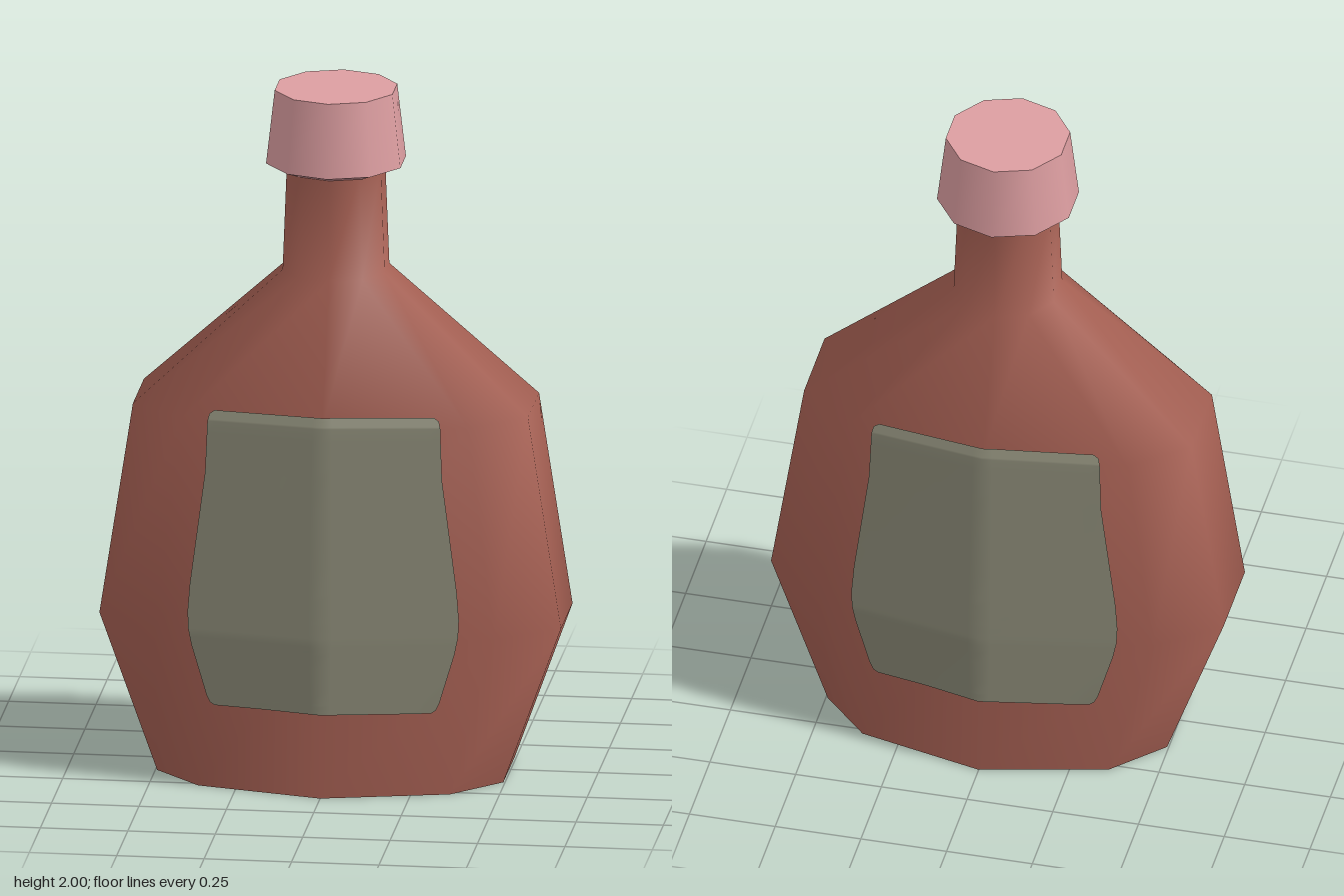
import * as THREE from 'three';

// Body rings from the base up: [y, sideX, sideZ, cornerX, cornerZ, frontZ]
const RINGS = [
  [0, 0.495, 0.13, 0.36, 0.27, 0.358],
  [0.46, 0.66, 0.13, 0.485, 0.268, 0.358],
  [1.08, 0.565, 0.125, 0.41, 0.258, 0.316],
  [1.47, 0.146, 0.052, 0.092, 0.132, 0.163],
  [1.79, 0.134, 0.049, 0.085, 0.126, 0.156],
];
const SIDES = 10;

function ringPoints([y, sx, sz, cx, cz, fz]) {
  return [
    [sx, sz], [cx, cz], [0, fz], [-cx, cz], [-sx, sz],
    [-sx, -sz], [-cx, -cz], [0, -fz], [cx, -cz], [sx, -sz],
  ].map(([x, z]) => [x, y, z]);
}

function makeGeometry(positions, index) {
  const g = new THREE.BufferGeometry();
  g.setAttribute('position', new THREE.Float32BufferAttribute(positions.flat(), 3));
  g.setIndex(index);
  g.computeVertexNormals();
  return g;
}

// Ten-sided walls with smooth normals
function wallGeometry() {
  const index = [];
  for (let j = 0; j < RINGS.length - 1; j++) {
    for (let i = 0; i < SIDES; i++) {
      const a = j * SIDES + i, b = j * SIDES + (i + 1) % SIDES;
      const c = a + SIDES, d = b + SIDES;
      index.push(a, c, b, b, c, d);
    }
  }
  return makeGeometry(RINGS.flatMap(ringPoints), index);
}

// Flat base facing down
function baseGeometry() {
  const index = [];
  for (let i = 1; i < SIDES - 1; i++) index.push(0, i, i + 1);
  return makeGeometry(ringPoints(RINGS[0]), index);
}

// Label outline: [y, half width]
const LABEL = [
  [0.247, 0.31], [0.255, 0.323], [0.275, 0.333], [0.42, 0.376], [0.47, 0.386],
  [0.52, 0.388], [0.6, 0.382], [0.93, 0.339], [1.08, 0.333], [1.1, 0.328], [1.11, 0.313],
];

// Label sheet laid over the front wall
function labelGeometry(wall) {
  const rows = [], columns = 24, steps = 4;
  for (let k = 0; k < LABEL.length - 1; k++) {
    for (let s = 0; s < steps; s++) {
      const t = s / steps;
      rows.push(LABEL[k].map((v, n) => THREE.MathUtils.lerp(v, LABEL[k + 1][n], t)));
    }
  }
  rows.push(LABEL[LABEL.length - 1]);

  const ray = new THREE.Raycaster();
  const back = new THREE.Vector3(0, 0, -1);
  const positions = [], index = [];
  rows.forEach(([y, w], r) => {
    for (let c = 0; c <= columns; c++) {
      const x = w * (2 * c / columns - 1);
      // tiny shift keeps the ray off the middle seam
      ray.set(new THREE.Vector3(x + 0.0001, y, 2), back);
      const hit = ray.intersectObject(wall)[0];
      positions.push([x, y, (hit ? hit.point.z : 0.3) + 0.005]);
      if (r && c) {
        const d = r * (columns + 1) + c, a = d - columns - 2;
        index.push(a, a + 1, d, a, d, d - 1);
      }
    }
  });
  return makeGeometry(positions, index);
}

export function createModel() {
  const glass = new THREE.MeshStandardMaterial({ color: 0xa66053 });
  glass.name = 'russet glass';
  const paper = new THREE.MeshStandardMaterial({ color: 0x8a8976 });
  paper.name = 'grey green label';
  paper.side = THREE.DoubleSide;
  const pink = new THREE.MeshStandardMaterial({ color: 0xdd9ea1 });
  pink.name = 'pink cap';

  const model = new THREE.Group();
  model.name = 'bottle';
  const add = (name, geometry, material, y = 0) => {
    const mesh = new THREE.Mesh(geometry, material);
    mesh.name = name;
    mesh.position.y = y;
    model.add(mesh);
    return mesh;
  };

  // Bottle
  const wall = add('bottleBody', wallGeometry(), glass);
  add('bottleBase', baseGeometry(), glass);

  // Matching labels front and back
  const label = labelGeometry(wall);
  add('frontLabel', label, paper);
  add('backLabel', label, paper).rotation.y = Math.PI;

  // Cap with a bevelled lower rim
  add('cap', new THREE.CylinderGeometry(0.177, 0.202, 0.215, SIDES), pink, 1.8925);
  add('capRim', new THREE.CylinderGeometry(0.202, 0.15, 0.02, SIDES), pink, 1.775);
  return model;
}
